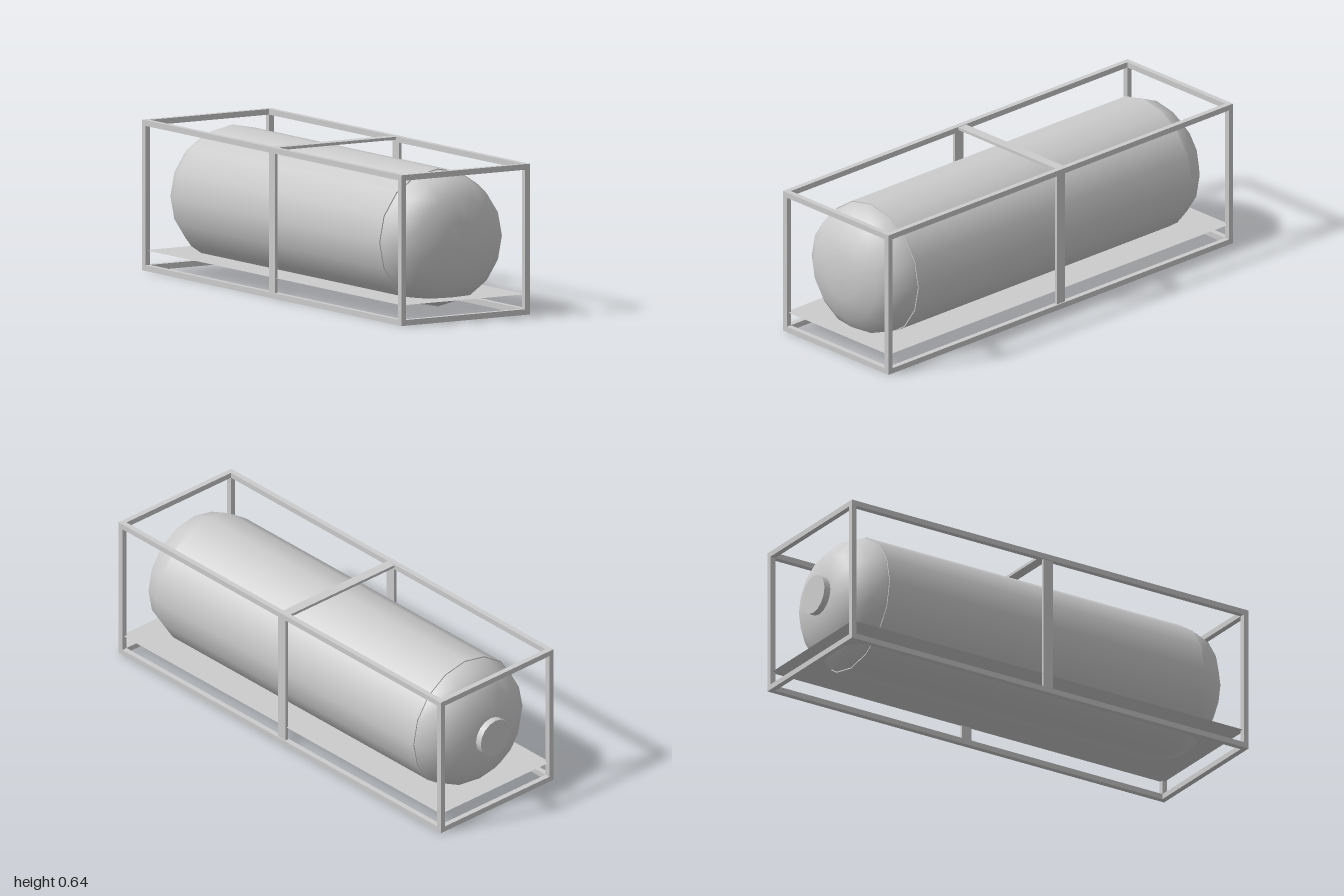
import * as THREE from 'three';

const grey = new THREE.MeshStandardMaterial({ color: 0xcccccc });
const greyDouble = new THREE.MeshStandardMaterial({ color: 0xcccccc, side: THREE.DoubleSide });

const W = 0.322, H = 0.64, L = 1.0; // half width, height, half length of the frame
const T = 0.024; // beam thickness

function add(parent, name, geometry, x, y, z, material = grey) {
  const mesh = new THREE.Mesh(geometry, material);
  mesh.name = name;
  mesh.position.set(x, y, z);
  parent.add(mesh);
  return mesh;
}

const box = (x, y, z) => new THREE.BoxGeometry(x, y, z);

function createFrame() {
  const frame = new THREE.Group();
  frame.name = 'frame';
  for (const sx of [-1, 1]) {
    const x = sx * (W - T / 2);
    // Corner posts
    for (const sz of [-1, 1]) add(frame, 'cornerPost', box(T, H, T), x, H / 2, sz * (L - T / 2));
    // Long rails
    for (const y of [T / 2, H - T / 2]) add(frame, 'sideRail', box(T, T, 2 * (L - T)), x, y, 0);
    // Flat middle posts
    add(frame, 'middlePost', box(0.012, H - 2 * T, 0.048), x, H / 2, -0.007);
  }
  // End rails, top and bottom
  for (const sz of [-1, 1])
    for (const y of [T / 2, H - T / 2])
      add(frame, 'endRail', box(2 * (W - T), T, T), 0, y, sz * (L - T / 2));
  // Flat cross bar over the tank
  add(frame, 'topCrossBar', box(2 * (W - T), 0.012, 0.045), 0, H - 0.008, -0.018);
  return frame;
}

// Domed end: rings of [radius, z] ending on the axis, turned about z
function dome(rings) {
  const points = rings.map(([r, z]) => new THREE.Vector2(r, z));
  return new THREE.LatheGeometry(points, 16).rotateX(Math.PI / 2);
}

function createTank() {
  const tank = new THREE.Group();
  tank.name = 'tank';
  tank.position.set(-0.005, 0.327, 0);

  add(tank, 'tankBody', new THREE.CylinderGeometry(0.293, 0.293, 1.585, 16).rotateX(Math.PI / 2), 0, 0, 0);

  add(tank, 'frontDome', dome([[0.289, 0.785], [0.287, 0.81], [0.262, 0.885], [0.193, 0.94], [0.09, 0.968], [0, 0.97]]), 0, 0, 0);
  add(tank, 'rearDome', dome([[0, -0.957], [0.09, -0.955], [0.193, -0.93], [0.262, -0.867], [0.287, -0.805], [0.289, -0.785]]), 0, 0, 0);

  // Round hatch on the rear end
  add(tank, 'hatch', new THREE.CylinderGeometry(0.085, 0.085, 0.05, 16).rotateX(Math.PI / 2), 0, 0, -0.96);
  return tank;
}

export function createModel() {
  const model = new THREE.Group();
  model.name = 'tankContainer';
  model.add(createFrame(), createTank());

  // Thin floor sheet that the tank sinks into
  add(model, 'floorSheet', new THREE.PlaneGeometry(2 * W - 0.02, 2 * L - 0.02).rotateX(-Math.PI / 2), 0, 0.086, 0, greyDouble);
  return model;
}
